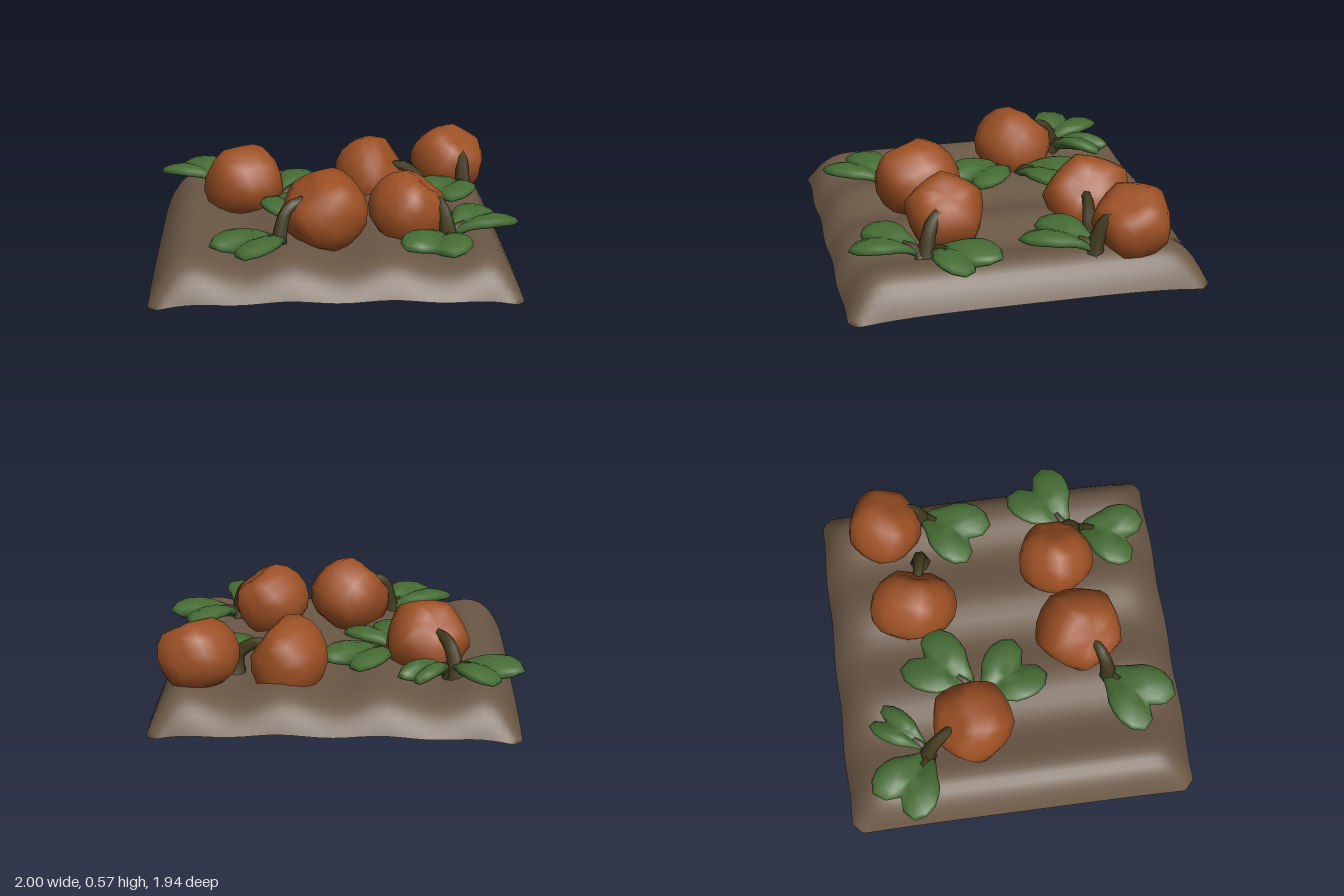
import * as THREE from 'three';
import { mergeVertices } from 'three/addons/utils/BufferGeometryUtils.js';

const V = (x, y, z) => new THREE.Vector3(x, y, z);

// Moves every vertex by a rule, welds seams and recomputes smooth normals
function reshape(geometry, rule) {
  const pos = geometry.attributes.position;
  const v = V(0, 0, 0);
  for (let i = 0; i < pos.count; i++) {
    v.fromBufferAttribute(pos, i);
    rule(v, i);
    pos.setXYZ(i, v.x, v.y, v.z);
  }
  geometry.deleteAttribute('uv');
  geometry.deleteAttribute('normal');
  const welded = mergeVertices(geometry, 1e-5);
  welded.computeVertexNormals();
  return welded;
}

// Ribbed, dimpled pumpkin with its crown along +y
function pumpkinGeometry() {
  return reshape(new THREE.SphereGeometry(1, 15, 9), (v) => {
    const s = Math.hypot(v.x, v.z);
    const a = Math.atan2(v.z, v.x);
    const groove = v.y > -0.3 ? 0.15 : 0.08;
    const rib = 1.04 - groove * s * Math.pow(Math.abs(Math.cos(a * 2.5)), 3);
    const dent = Math.exp(-Math.pow(s / 0.42, 2));
    const top = v.y > 0;
    v.x *= rib;
    v.z *= rib;
    v.y = v.y * 0.97 * (0.4 + 0.6 * rib) - dent * (top ? 0.28 : -0.1);
  });
}

// Sorts faces into a main group (0) and a buried group (1) below a height
function splitBelow(geometry, height) {
  const pos = geometry.attributes.position;
  const upper = [], lower = [];
  const index = geometry.index.array;
  for (let i = 0; i < index.length; i += 3) {
    const face = [index[i], index[i + 1], index[i + 2]];
    const mid = face.reduce((sum, k) => sum + pos.getY(k), 0) / 3;
    (mid < height ? lower : upper).push(...face);
  }
  geometry.setIndex([...upper, ...lower]);
  geometry.addGroup(0, upper.length, 0);
  geometry.addGroup(upper.length, lower.length, 1);
  return geometry;
}

// Outline radius of the two-lobed leaf: [degrees from tip, radius]
const LEAF = [[0, 0.125], [18, 0.2], [36, 0.245], [58, 0.235], [90, 0.185], [135, 0.14], [180, 0.2]];
function leafRadius(deg) {
  let i = 0;
  while (i < LEAF.length - 2 && deg > LEAF[i + 1][0]) i++;
  const [a, ra] = LEAF[i], [b, rb] = LEAF[i + 1];
  return THREE.MathUtils.lerp(ra, rb, (deg - a) / (b - a));
}

// Plump leaf starting at the origin and growing along +z
function leafGeometry() {
  return reshape(new THREE.SphereGeometry(1, 20, 8), (v) => {
    const s = Math.hypot(v.x, v.z);
    const a = Math.abs(THREE.MathUtils.radToDeg(Math.atan2(v.x, v.z)));
    const r = s < 1e-4 ? 0 : leafRadius(a);
    v.x *= r;
    v.z = v.z * r + 0.2;
    const arch = 0.04 * Math.sin(Math.min(Math.max(v.z, 0) / 0.42, 1) * Math.PI);
    const valley = 0.03 * Math.exp(-Math.pow(v.x / 0.04, 2));
    const plump = Math.sign(v.y) * Math.pow(Math.abs(v.y), 0.7) * 0.034;
    v.y = plump + arch - valley + 0.03 * v.z;
  });
}

// Tapering tube through points, for stems and leaf stalks
function taperedTube(points, r0, r1, sides) {
  const curve = new THREE.CatmullRomCurve3(points);
  const n = 8;
  return reshape(new THREE.TubeGeometry(curve, n, 1, sides, false), (v, i) => {
    const t = Math.floor(i / (sides + 1)) / n;
    const c = curve.getPointAt(t);
    v.sub(c).multiplyScalar(r0 + (r1 - r0) * Math.sqrt(t)).add(c);
  });
}

// Furrowed soil bed: an open shell with rounded shoulders
function soilGeometry() {
  const n = 40;
  const hx = 0.965, hz = 0.97;
  // crowds grid lines towards the edges
  const ease = (t) => Math.sign(t) * (1 - Math.pow(1 - Math.abs(t), 1.5));
  const shoulder = (t, h, width, power) => 1 - Math.pow(1 - Math.min((h - Math.abs(t)) / width, 1), power);
  const plane = new THREE.PlaneGeometry(2, 2, n, n).rotateX(-Math.PI / 2);
  return reshape(plane, (v) => {
    let x = ease(v.x) * hx, z = ease(v.z) * hz;
    const sx = shoulder(x, hx, 0.27, 4), sz = shoulder(z, hz, 0.34, 3.6);
    const wave = Math.cos((x - 0.28) * Math.PI * 2 / 0.52);
    const corner = Math.abs(x * z) / (hx * hz);
    const rim = 0.035 * (1 - Math.pow(corner, 4)) + 0.005 * wave;
    const y = Math.max(0, rim * (1 - sx * sz) + (0.195 + 0.025 * wave) * sx * sz);
    // clipped corners and slightly uneven long edges
    const over = Math.max(0, Math.abs(x) + Math.abs(z) - 1.875);
    x -= Math.sign(x) * over * 0.5;
    z -= Math.sign(z) * (over * 0.5 + 0.005 * (1 + wave) * (1 - sz));
    v.set(x - 0.015, y, z - 0.003);
  });
}

export function createModel() {
  const model = new THREE.Group();
  const paint = (name, color, side = THREE.FrontSide) => {
    const m = new THREE.MeshStandardMaterial({ color, side });
    m.name = name;
    return m;
  };
  const soil = paint('soil brown', 0x6b5846, THREE.DoubleSide);
  const orange = paint('pumpkin orange', 0x9c5024);
  const green = paint('leaf green', 0x466c34);
  const stemBrown = paint('stem olive brown', 0x423a1e, THREE.DoubleSide);

  const add = (name, geometry, material) => {
    const mesh = new THREE.Mesh(geometry, material);
    mesh.name = name;
    model.add(mesh);
    return mesh;
  };

  add('soilBed', soilGeometry(), soil);

  // Pumpkins: centre, half sizes across the world axes, stem foot and stem tip (x, z)
  const pumpkins = [
    { c: [-0.5, 0.31, -0.235], r: [0.23, 0.225, 0.23], foot: [-0.65, -0.51], tip: [-0.56, -0.36] },
    { c: [0.24, 0.27, -0.485], r: [0.21, 0.245, 0.25], foot: [0.53, -0.41], tip: [0.39, -0.43] },
    { c: [0.715, 0.335, -0.59], r: [0.22, 0.21, 0.21], foot: [0.78, -0.36], tip: [0.775, -0.53] },
    { c: [-0.06, 0.35, 0.425], r: [0.235, 0.225, 0.245], foot: [-0.31, 0.56], tip: [-0.18, 0.49] },
    { c: [0.395, 0.335, 0.355], r: [0.215, 0.215, 0.215], foot: [0.6, 0.5], tip: [0.49, 0.36] },
  ];
  const up = V(0, 1, 0);
  const body = pumpkinGeometry();
  for (const { c, r, foot, tip } of pumpkins) {
    const dx = tip[0] - c[0], dz = tip[1] - c[2];
    const axis = V(dx, 0.13, dz).normalize();
    const tilted = body.clone().applyQuaternion(new THREE.Quaternion().setFromUnitVectors(up, axis));
    tilted.scale(r[0], r[1], r[2]);
    // the buried underside is soil coloured
    add('pumpkin', splitBelow(tilted, -0.84 * r[1]), [orange, soil]).position.set(...c);

    // stem rises from the soil and bends over into the crown
    const at = (t, y) => V(foot[0] + (tip[0] - foot[0]) * t, y, foot[1] + (tip[1] - foot[1]) * t);
    const top = c[1] + 0.075;
    const path = [at(0, 0.17), at(0.08, 0.27), at(0.35, top - 0.035), at(0.8, top), at(1.2, top - 0.01)];
    add('stem', taperedTube(path, 0.06, 0.027, 6), stemBrown);
  }

  // Leaves: base x, base z, tip x, tip z, width factor, base height
  const leaves = [
    [-0.64, -0.48, -0.91, -0.71, 0.95, 0.25],
    [-0.61, -0.5, -0.4, -0.75, 0.5, 0.25],
    [-0.29, -0.2, -0.04, -0.5, 0.95, 0.235],
    [-0.37, -0.17, -0.16, 0.13, 0.95, 0.225],
    [-0.28, 0.54, -0.57, 0.8, 0.95, 0.235],
    [0.61, 0.53, 0.47, 0.84, 0.95, 0.235],
    [0.61, 0.46, 0.91, 0.26, 0.95, 0.235],
    [0.8, -0.37, 0.57, -0.07, 0.95, 0.245],
  ];
  const blade = leafGeometry();
  for (const [x, z, tx, tz, width, y] of leaves) {
    const dx = tx - x, dz = tz - z;
    const leaf = add('leaf', blade, green);
    leaf.position.set(x, y, z);
    leaf.rotation.y = Math.atan2(dx, dz);
    leaf.scale.set(width, 1, Math.hypot(dx, dz) / 0.385);
    // short stalk running onto the leaf
    const stalk = [V(x, 0.19, z), V(x + dx * 0.1, y + 0.012, z + dz * 0.1), V(x + dx * 0.28, y + 0.03, z + dz * 0.28)];
    add('leafStalk', taperedTube(stalk, 0.035, 0.015, 5), stemBrown);
  }
  return model;
}
